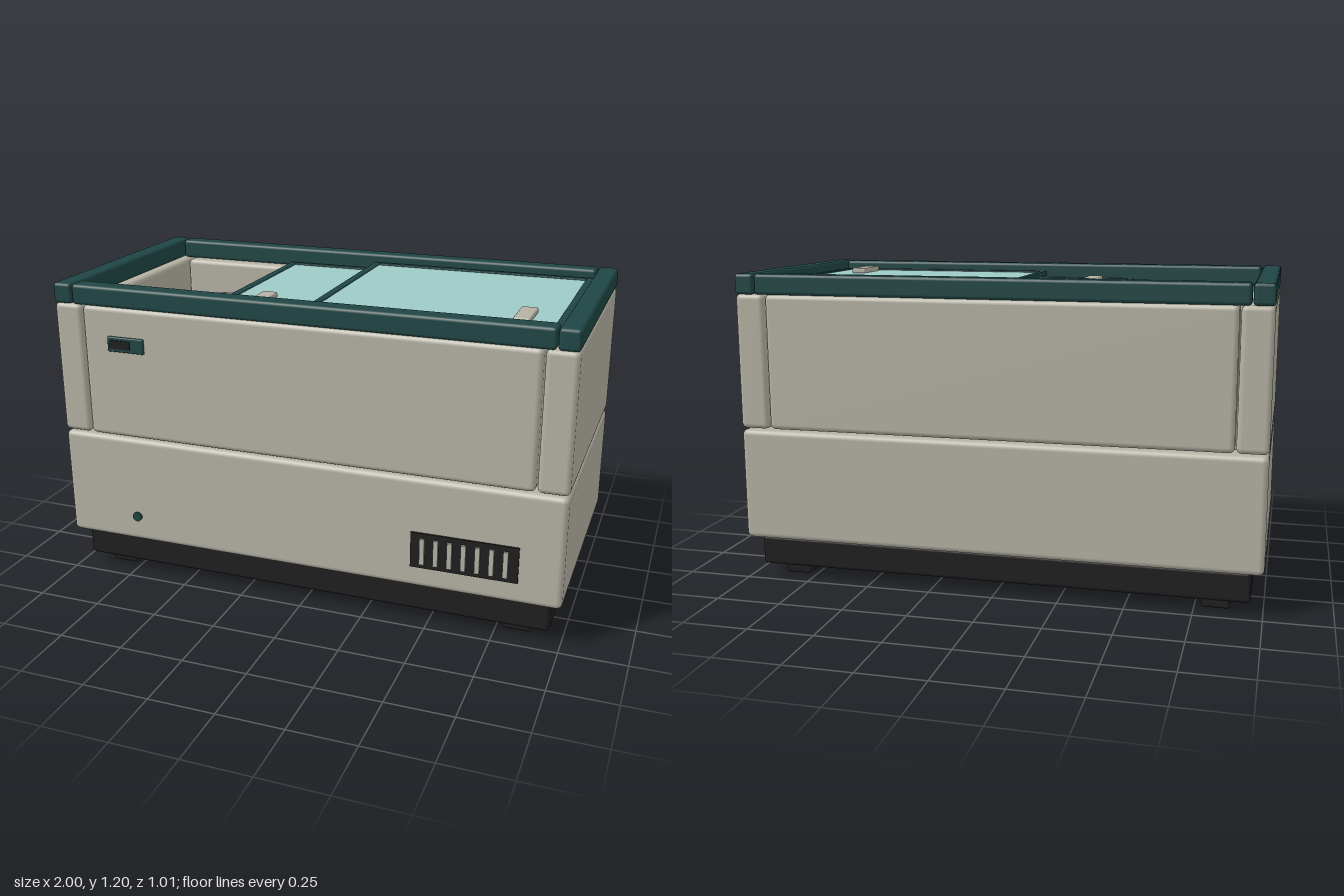
import * as THREE from 'three';
import { RoundedBoxGeometry } from 'three/addons/geometries/RoundedBoxGeometry.js';

function mat(name, color, side = THREE.FrontSide) {
  const m = new THREE.MeshStandardMaterial({ color, side });
  m.name = name;
  return m;
}

export function createModel() {
  const group = new THREE.Group();
  const body = mat('warm grey enamel', 0xb5b2a4);
  const teal = mat('dark teal trim', 0x1f4644);
  const black = mat('black plastic', 0x1f1f1f);
  const glass = mat('pale lid glass', 0x9ccac6);
  const tubGrey = mat('tub grey', 0xb9b4a6, THREE.DoubleSide);
  const chocolate = mat('chocolate', 0x5a3029);
  const vanilla = mat('vanilla', 0xd0b274);

  // Box given by its limits on each axis; radius 0 makes sharp edges
  function box(name, material, x, y, z, radius = 0, parent = group) {
    const s = [x, y, z].map(([a, b]) => b - a);
    const g = radius ? new RoundedBoxGeometry(...s, 3, radius) : new THREE.BoxGeometry(...s);
    const mesh = new THREE.Mesh(g, material);
    mesh.name = name;
    mesh.position.set((x[0] + x[1]) / 2, (y[0] + y[1]) / 2, (z[0] + z[1]) / 2);
    parent.add(mesh);
    return mesh;
  }
  const mirrored = ([a, b], s) => (s > 0 ? [a, b] : [-b, -a]);
  const back = -0.505, front = 0.492;

  // Plinth, feet and lower cabinet
  box('plinth', black, [-0.955, 0.955], [0.045, 0.163], [-0.458, 0.447], 0.015);
  for (const s of [-1, 1]) {
    for (const z of [[0.285, 0.395], [-0.41, -0.295]]) {
      box('foot', black, mirrored([0.775, 0.88], s), [0, 0.06], z, 0.01);
    }
  }
  box('lowerCabinet', body, [-1, 1], [0.165, 0.6], [back, front], 0.022);

  // Insulated tank walls and top rim
  for (const s of [-1, 1]) {
    box('endWall', body, mirrored([0.885, 1], s), [0.605, 1.124], [back, front], 0.02);
    box('endRim', teal, mirrored([0.924, 1], s), [1.122, 1.2], [back, front], 0.013);
  }
  box('frontWall', body, [-0.88, 0.88], [0.605, 1.124], [0.367, front], 0.02);
  box('backWall', body, [-0.88, 0.88], [0.605, 1.124], [back, -0.39], 0.02);
  box('frontRim', teal, [-0.92, 0.92], [1.122, 1.2], [0.412, front], 0.013);
  box('backRim', teal, [-0.92, 0.92], [1.122, 1.2], [back, -0.433], 0.013);
  box('tankFloor', body, [-0.89, 0.89], [0.59, 0.62], [-0.4, 0.375]);

  // Two sliding lids on stacked tracks
  function slidingLid(name, x0, x1, y, handleX) {
    const lid = new THREE.Group();
    lid.name = name;
    const ys = [y, y + 0.022], z0 = -0.422, z1 = 0.405, w = 0.028;
    box('lidGlass', glass, [x0 + w / 2, x1 - w / 2], [y + 0.005, y + 0.016],
      [z0 + w / 2, z1 - w / 2], 0, lid);
    for (const x of [x0, x1 - w]) box('lidSideBar', teal, [x, x + w], ys, [z0, z1], 0.004, lid);
    for (const z of [z0, z1 - w]) {
      box('lidLongBar', teal, [x0 + w, x1 - w], ys, [z, z + w], 0.004, lid);
    }
    box('lidHandle', body, [handleX - 0.03, handleX + 0.03], [y + 0.014, y + 0.036],
      [0.17, 0.34], 0.006, lid);
    group.add(lid);
  }
  slidingLid('lowerLid', -0.39, 0.53, 1.12, -0.236);
  slidingLid('upperLid', -0.008, 0.915, 1.146, 0.77);

  // Open tubs with a rolled rim and softly scooped contents
  const tubProfile = [[0, 0.62], [0.148, 0.62], [0.156, 0.975], [0.168, 0.98], [0.17, 0.99],
    [0.167, 1], [0.156, 1], [0.152, 0.99], [0.148, 0.94]].map(([r, y]) => new THREE.Vector2(r, y));
  function tub(name, z, material, phase) {
    const t = new THREE.Group();
    t.name = name;
    t.position.set(-0.585, 0, z);
    const shell = new THREE.Mesh(new THREE.LatheGeometry(tubProfile, 48), tubGrey);
    shell.name = 'tubShell';
    const g = new THREE.RingGeometry(0.0005, 0.153, 48, 14);
    g.rotateX(-Math.PI / 2);
    const p = g.attributes.position;
    for (let i = 0; i < p.count; i++) {
      const x = p.getX(i), zz = p.getZ(i);
      const fade = 1 - (x * x + zz * zz) / (0.153 * 0.153);
      const wave = Math.sin(x * 26 + phase) * Math.cos(zz * 34 - phase)
        + 0.5 * Math.sin(zz * 48 + x * 18 + phase);
      p.setY(i, 0.975 + fade * (0.018 + 0.011 * wave));
    }
    g.computeVertexNormals();
    const fill = new THREE.Mesh(g, material);
    fill.name = 'iceCream';
    t.add(shell, fill);
    group.add(t);
  }
  tub('chocolateTub', -0.203, chocolate, 0.6);
  tub('vanillaTub', 0.176, vanilla, 2.1);

  // Front fittings: vent grille, temperature display and drain plug
  box('ventPanel', black, [0.44, 0.84], [0.25, 0.39], [0.485, 0.499]);
  for (let i = 0; i < 7; i++) {
    const x = 0.485 + i * 0.0515;
    box('ventSlat', body, [x - 0.009, x + 0.009], [0.267, 0.37], [0.494, 0.507]);
  }
  box('displayHousing', teal, [-0.772, -0.62], [0.953, 1.012], [0.48, 0.502], 0.005);
  box('displayScreen', black, [-0.762, -0.675], [0.966, 1], [0.498, 0.506]);
  const plug = new THREE.Mesh(new THREE.CylinderGeometry(0.019, 0.019, 0.02, 24), teal);
  plug.name = 'drainPlug';
  plug.rotation.x = Math.PI / 2;
  plug.position.set(-0.696, 0.27, 0.491);
  group.add(plug);

  return group;
}
